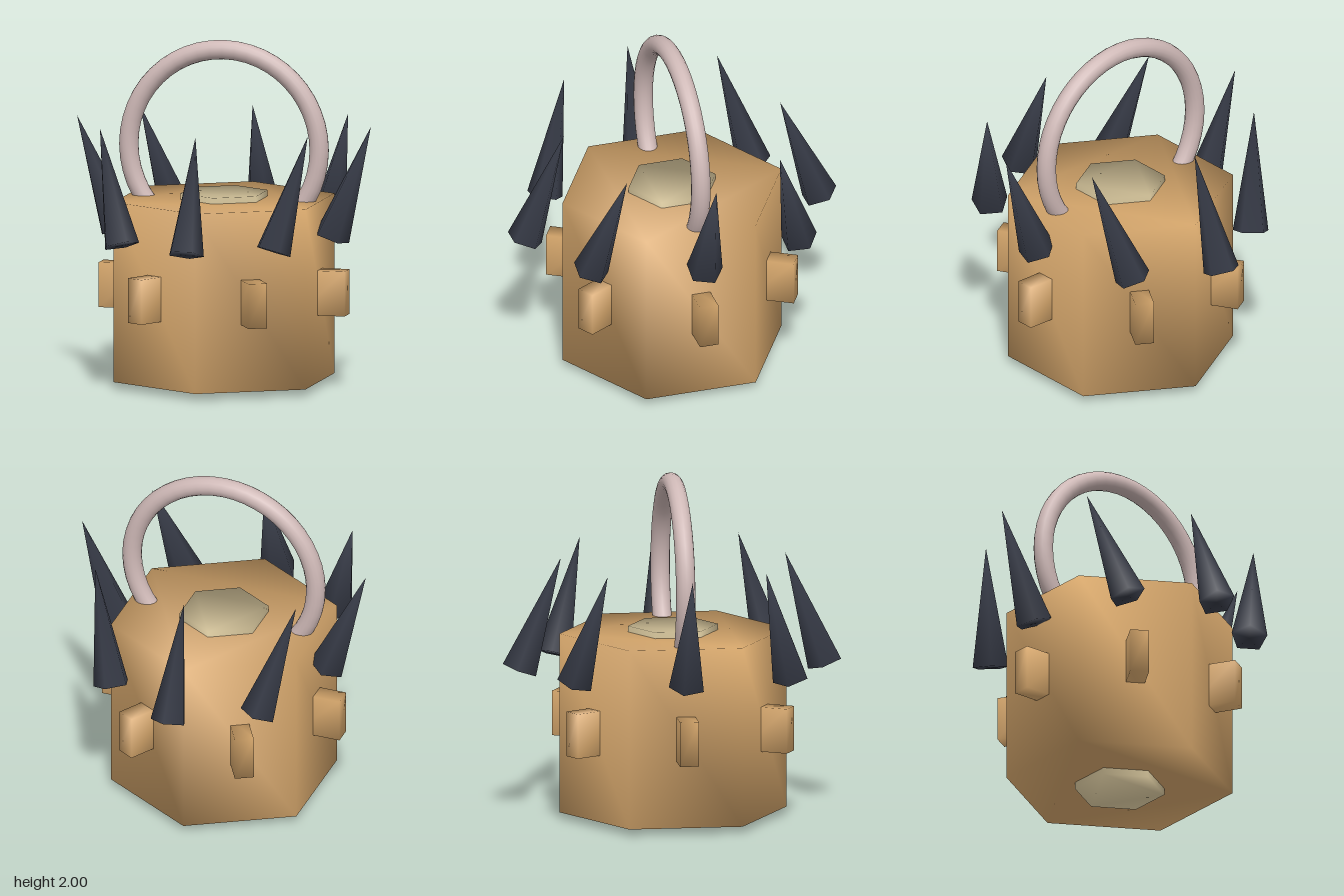
import * as THREE from 'three';
import { mergeVertices } from 'three/addons/utils/BufferGeometryUtils.js';

const mat = (name, color) => {
  const m = new THREE.MeshStandardMaterial({ color });
  m.name = name;
  return m;
};

// Weld the corners so that normals run smoothly over every edge
function soften(geometry) {
  geometry.deleteAttribute('uv');
  geometry.deleteAttribute('normal');
  const g = mergeVertices(geometry, 1e-4);
  g.computeVertexNormals();
  return g;
}

// Upright hexagonal prism with corners towards +z and -z
function hexPrism(radius, y0, y1) {
  const points = [];
  for (let i = 0; i < 6; i++) {
    const a = Math.PI / 2 + i * Math.PI / 3;
    points.push(new THREE.Vector2(radius * Math.cos(a), radius * Math.sin(a)));
  }
  const g = new THREE.ExtrudeGeometry(new THREE.Shape(points), { depth: y1 - y0, bevelEnabled: false });
  g.rotateX(-Math.PI / 2).translate(0, y0, 0);
  return soften(g);
}

export function createModel() {
  const model = new THREE.Group();
  model.name = 'spikedLantern';
  const wood = mat('tan', 0xd6a76c);
  const cream = mat('cream', 0xd6c59b);
  const pink = mat('pale pink', 0xcfb9b7);
  const dark = mat('dark slate', 0x363a46);

  const add = (name, geometry, material) => {
    const mesh = new THREE.Mesh(geometry, material);
    mesh.name = name;
    model.add(mesh);
    return mesh;
  };

  // Body and the core that shows at the top and bottom
  add('body', hexPrism(0.657, 0.04, 1.085), wood);
  add('core', hexPrism(0.26, 0, 1.12), cream);

  // Ring handle, sunk into the body
  add('handle', new THREE.TorusGeometry(0.565, 0.056, 16, 48), pink).position.y = 1.38;

  // One block on each face
  const blockGeometry = soften(new THREE.BoxGeometry(0.28, 0.26, 0.11));
  for (let i = 0; i < 6; i++) {
    const a = i * Math.PI / 3;
    const block = add('block', blockGeometry, wood);
    block.position.set(0.59 * Math.cos(a), 0.56, 0.59 * Math.sin(a));
    block.rotation.y = -a;
  }

  // Ring of five-sided spikes, leaning outward along x and inward along z
  const length = 0.69;
  const spikeGeometry = soften(new THREE.ConeGeometry(0.108, length, 5));
  spikeGeometry.rotateY(Math.PI).translate(0, length / 2, 0);
  const up = new THREE.Vector3(0, 1, 0);
  for (let i = 0; i < 8; i++) {
    const a = i * Math.PI / 4;
    const c = Math.cos(a), s = Math.sin(a);
    const spike = add('spike', spikeGeometry, dark);
    spike.position.set(0.637 * c, 0.88, 0.884 * s);
    spike.quaternion.setFromUnitVectors(up, new THREE.Vector3(0.235 * c, 0.65, -0.235 * s).normalize());
  }

  // Everything sits slightly forward of the middle
  model.children.forEach((part) => { part.position.z += 0.008; });
  return model;
}
